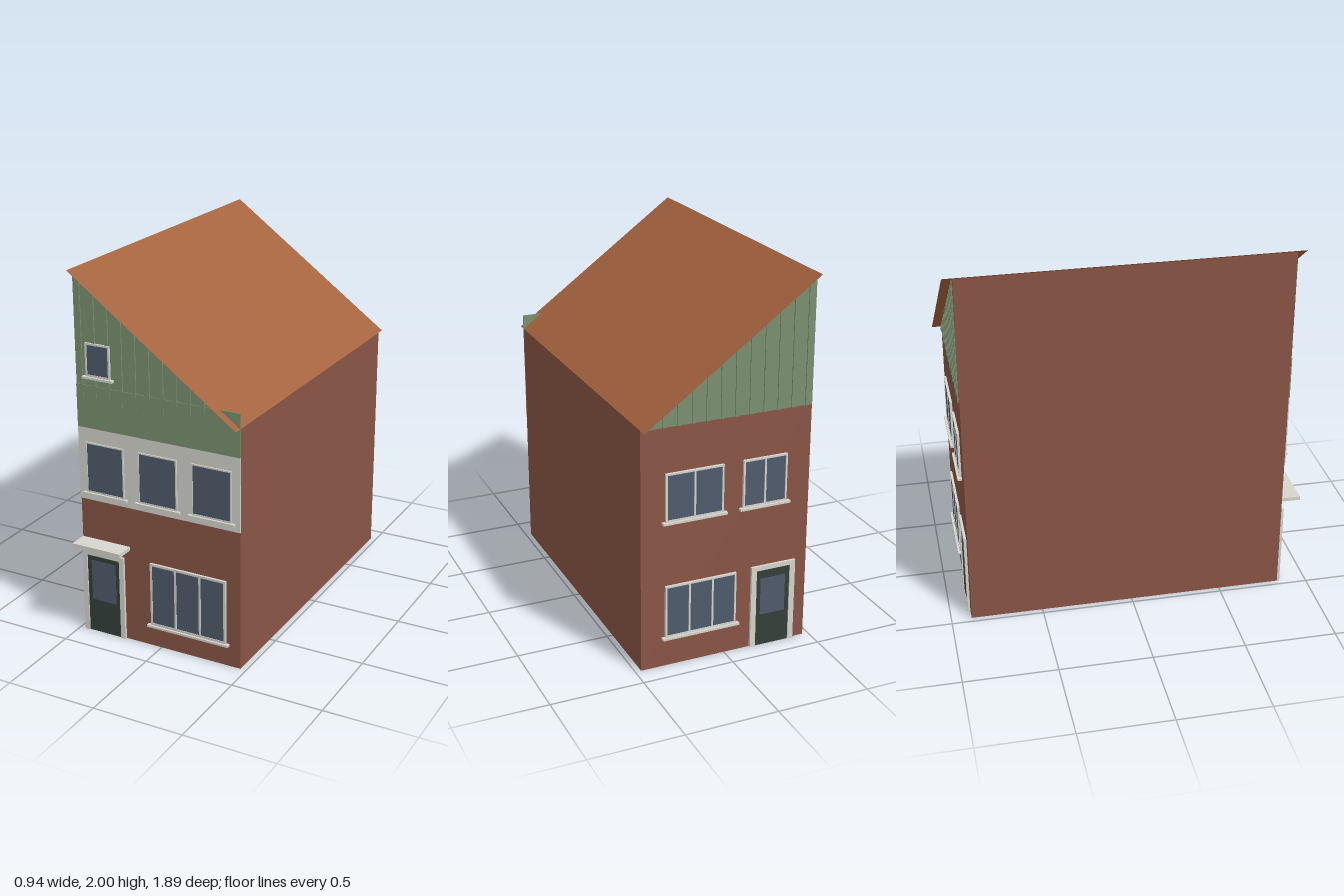
import * as THREE from 'three';

const mat = (color) => new THREE.MeshStandardMaterial({ color, side: THREE.DoubleSide, roughness: 0.9 });
const brick = mat(0x8a5546), roofTile = mat(0xa5633f), green = mat(0x7a9070);
const white = mat(0xd6d6ce), glass = mat(0x4f5b6c), doorPaint = mat(0x33403a);

const W = 0.468, FRONT = 0.84, BACK = -0.89, EAVE = 1.32, RIDGE = 2;
const slopeY = (x) => RIDGE - ((x + W) / (2 * W)) * (RIDGE - EAVE);

function add(parent, name, geometry, material) {
  const mesh = new THREE.Mesh(geometry, material);
  mesh.name = name;
  parent.add(mesh);
  return mesh;
}

// Box given by its limits
function box(parent, name, material, x0, x1, y0, y1, z0, z1) {
  const mesh = add(parent, name, new THREE.BoxGeometry(x1 - x0, y1 - y0, z1 - z0), material);
  mesh.position.set((x0 + x1) / 2, (y0 + y1) / 2, (z0 + z1) / 2);
  return mesh;
}

const outline = (points) => new THREE.Shape(points.map(([x, y]) => new THREE.Vector2(x, y)));
const rect = (x0, x1, y0, y1) => [[x0, y0], [x1, y0], [x1, y1], [x0, y1]];

// Framed window with equal panes and a projecting sill; z = 0 is the wall
function windowUnit(parent, name, [x0, x1, y0, y1], panes, frame = 0.01) {
  const unit = new THREE.Group();
  unit.name = name;
  parent.add(unit);
  const shape = outline(rect(x0, x1, y0, y1));
  const pane = (x1 - x0 - frame * (panes + 1)) / panes;
  for (let i = 0; i < panes; i++) {
    const left = x0 + frame + i * (pane + frame);
    shape.holes.push(outline(rect(left, left + pane, y0 + frame, y1 - frame)));
  }
  add(unit, 'windowFrame', new THREE.ExtrudeGeometry(shape, { depth: 0.013, bevelEnabled: false }), white);
  box(unit, 'windowGlass', glass, x0 + 0.002, x1 - 0.002, y0 + 0.002, y1 - 0.002, 0.001, 0.01);
  box(unit, 'windowSill', white, x0 - 0.018, x1 + 0.018, y0 - 0.012, y0, 0, 0.024);
}

// Glazed door in a plain surround
function doorUnit(parent, name, x0, x1, top, side, pane) {
  const unit = new THREE.Group();
  unit.name = name;
  parent.add(unit);
  const d0 = x0 + side, d1 = x1 - side, head = top - 0.025;
  const surround = outline([[x0, 0], [d0, 0], [d0, head], [d1, head], [d1, 0], [x1, 0], [x1, top], [x0, top]]);
  add(unit, 'doorSurround', new THREE.ExtrudeGeometry(surround, { depth: 0.014, bevelEnabled: false }), white);
  box(unit, 'doorLeaf', doorPaint, d0, d1, 0, head, 0.001, 0.008);
  box(unit, 'doorGlass', glass, d0 + 0.025, d1 - 0.025, pane[0], pane[1], 0.002, 0.01);
}

// Wall up to the eave, clad gable above with vertical battens; top(x) is the roof line
function endWall(parent, mirror) {
  const top = (x) => slopeY(mirror * x) - 0.004;
  add(parent, 'endWall', new THREE.ShapeGeometry(outline(rect(-W, W, 0, EAVE))), brick);
  const high = -mirror * W;
  const gable = outline([[-W, EAVE - 0.004], [W, EAVE - 0.004], [high, RIDGE - 0.004]]);
  const cladding = add(parent, 'gableCladding', new THREE.ShapeGeometry(gable), green);
  cladding.position.z = 0.002;
  for (let i = 0; i < 12; i++) {
    const x0 = mirror * (-0.437 + i * 0.078) - 0.01, x1 = x0 + 0.02;
    const strip = outline([[x0, EAVE - 0.004], [x1, EAVE - 0.004], [x1, top(x1)], [x0, top(x0)]]);
    add(parent, 'gableBatten', new THREE.ExtrudeGeometry(strip, { depth: 0.008, bevelEnabled: false }), green);
  }
}

export function createModel() {
  const house = new THREE.Group();
  house.name = 'house';

  // Side walls, open underneath
  const depth = FRONT - BACK, mid = (FRONT + BACK) / 2;
  for (const [name, s, h] of [['leftWall', 1, EAVE], ['rightWall', -1, RIDGE - 0.004]]) {
    const wall = add(house, name, new THREE.PlaneGeometry(depth, h), brick);
    wall.rotation.y = s * Math.PI / 2;
    wall.position.set(s * W, h / 2, mid);
  }

  // Single-pitch roof overhanging front and back
  const z0 = -0.943, z1 = 0.892;
  const roof = add(house, 'roof', new THREE.PlaneGeometry(Math.hypot(2 * W, RIDGE - EAVE), z1 - z0), roofTile);
  roof.geometry.rotateX(-Math.PI / 2);
  roof.rotation.z = -Math.atan2(RIDGE - EAVE, 2 * W);
  roof.position.set(0, (RIDGE + EAVE) / 2, (z0 + z1) / 2);

  // Front
  const front = new THREE.Group();
  front.name = 'front';
  front.position.z = FRONT;
  house.add(front);
  endWall(front, 1);
  box(front, 'whiteBand', white, -W, W, 0.77, 1.17, 0, 0.006);
  box(front, 'greenBand', green, -W, W, 1.17, 1.4, 0, 0.006);
  windowUnit(front, 'atticWindow', [-0.405, -0.262, 1.452, 1.628], 1);
  for (const x of [-0.31, 0, 0.31]) {
    windowUnit(front, 'upperWindow', [x - 0.113, x + 0.113, 0.815, 1.093], 1, 0.008);
  }
  windowUnit(front, 'livingRoomWindow', [-0.055, 0.387, 0.128, 0.484], 3, 0.012);
  doorUnit(front, 'frontDoor', -W, -0.215, 0.475, 0.028, [0.19, 0.42]);
  box(front, 'doorCanopy', white, -W, -0.18, 0.525, 0.546, 0, 0.103);

  // Back, turned round so its own x runs the other way
  const back = new THREE.Group();
  back.name = 'back';
  back.position.z = BACK;
  back.rotation.y = Math.PI;
  house.add(back);
  endWall(back, -1);
  windowUnit(back, 'backUpperWindow', [-0.337, -0.02, 0.815, 1.075], 2);
  windowUnit(back, 'backUpperWindow', [0.088, 0.335, 0.815, 1.075], 2);
  windowUnit(back, 'backLowerWindow', [-0.337, 0.06, 0.168, 0.458], 3);
  doorUnit(back, 'backDoor', 0.147, 0.4, 0.465, 0.03, [0.18, 0.39]);

  return house;
}
